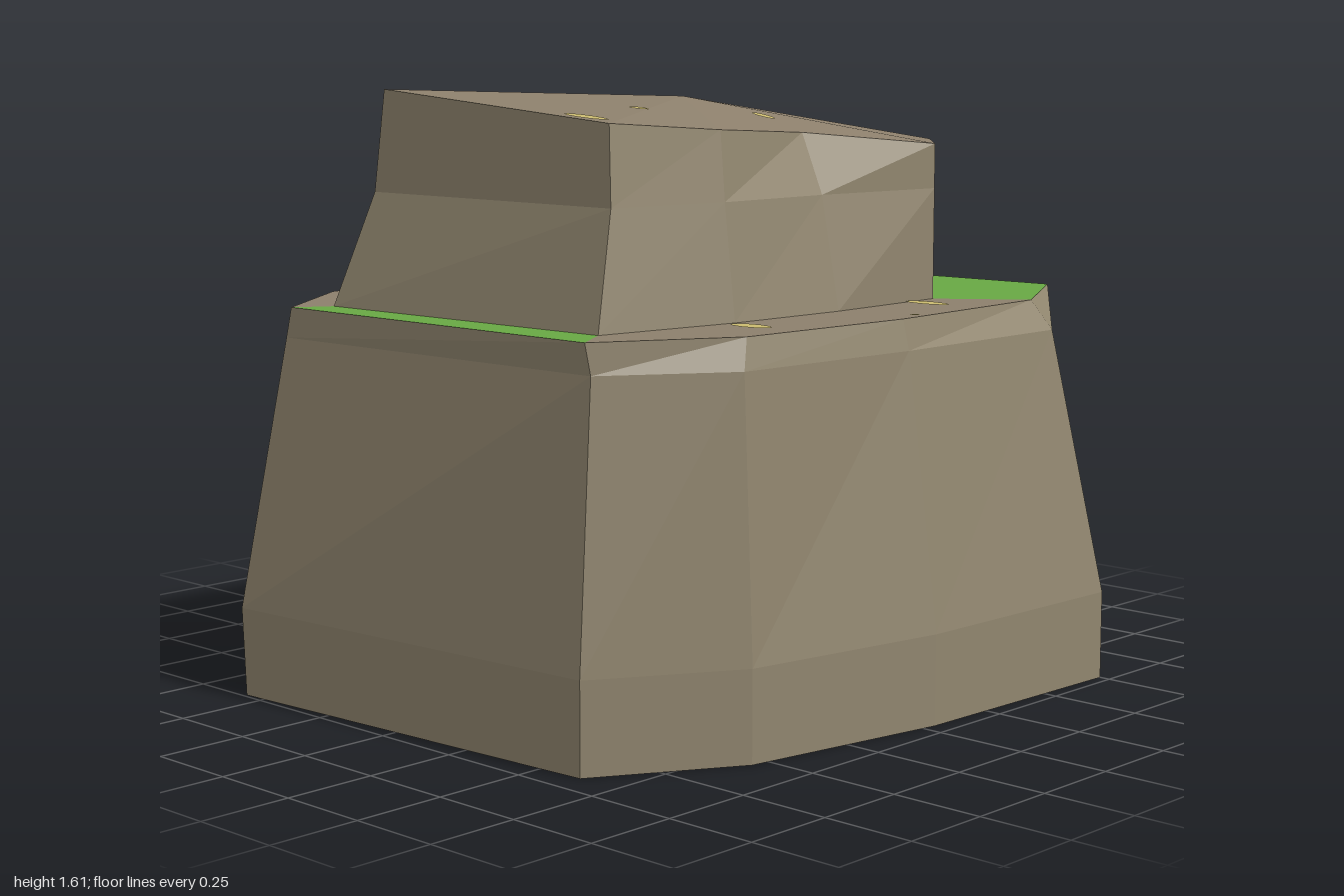
import * as THREE from 'three';

const COUNT = 10;
const material = (name, color) => {
  const m = new THREE.MeshStandardMaterial({ color });
  m.name = name;
  return m;
};

// Turns [x, z, x, z, ...] into a ring of points; y is one height or one per point
const ring = (y, xz) => Array.from({ length: COUNT }, (_, i) =>
  new THREE.Vector3(xz[2 * i], Array.isArray(y) ? y[i] : y, xz[2 * i + 1]));

// Quads between two rings, for the chosen sides
function band(lower, upper, sides = [...lower.keys()]) {
  return sides.flatMap((i) => {
    const j = (i + 1) % COUNT;
    return [lower[j], lower[i], upper[i], lower[j], upper[i], upper[j]];
  });
}

// Triangles from a ring to a centre point
function fan(points, centre, up) {
  return points.flatMap((p, i) => {
    const q = points[(i + 1) % COUNT];
    return up ? [centre, q, p] : [centre, p, q];
  });
}

function facets(name, points, mat) {
  const geometry = new THREE.BufferGeometry().setFromPoints(points);
  geometry.computeVertexNormals();
  const mesh = new THREE.Mesh(geometry, mat);
  mesh.name = name;
  return mesh;
}

export function createModel() {
  const group = new THREE.Group();
  group.name = 'steppedRock';
  const wall = material('rock wall', 0x91866f);
  const top = material('rock top', 0x8d806c);
  const grass = material('grass', 0x68a844);
  const lichen = material('lichen', 0xcbbb70);

  // Rings start at the back of the -x side and run along the back to +x
  const foot = [-0.99, -0.57, -0.55, -0.75, 0.08, -0.87, 0.85, -0.97, 0.92, -0.46,
    0.97, 0.59, 0.75, 0.97, 0.04, 0.95, -0.55, 0.85, -0.92, 0.63];
  const shin = [-1, ...foot.slice(1)];
  const lower = [
    ring(0, foot),
    ring(0.24, shin),
    ring(0.96, [-0.88, -0.51, -0.55, -0.74, 0.08, -0.82, 0.85, -0.96, 0.92, -0.46,
      0.97, 0.59, 0.66, 0.85, 0.04, 0.85, -0.54, 0.81, -0.85, 0.6]),
    ring(1.04, [-0.87, -0.5, -0.54, -0.73, 0.08, -0.79, 0.83, -0.945, 0.92, -0.46,
      1, 0.59, 0.63, 0.8, 0.04, 0.83, -0.51, 0.79, -0.86, 0.59]),
  ];
  const upper = [
    ring(1.04, [-0.775, -0.44, -0.34, -0.495, 0.06, -0.53, 0.53, -0.57, 0.64, -0.3,
      0.68, 0.41, 0.47, 0.59, 0.06, 0.6, -0.32, 0.58, -0.74, 0.515]),
    ring(1.34, [-0.67, -0.39, -0.31, -0.43, 0.06, -0.47, 0.53, -0.55, 0.64, -0.3,
      0.675, 0.41, 0.47, 0.59, 0.06, 0.54, -0.31, 0.535, -0.66, 0.48]),
    ring([1.61, 1.595, 1.58, 1.55, 1.52, 1.46, 1.46, 1.5, 1.52, 1.545],
      [-0.65, -0.37, -0.3, -0.375, 0.06, -0.38, 0.53, -0.545, 0.64, -0.3,
        0.675, 0.41, 0.47, 0.59, 0.06, 0.47, -0.3, 0.51, -0.645, 0.46]),
  ];
  const peak = new THREE.Vector3(0.06, 1.585, 0.04);

  // Two tiers of walls
  const stack = (rings) => rings.slice(1).flatMap((r, i) => band(rings[i], r));
  group.add(
    facets('lowerTierWalls', stack(lower), wall),
    facets('upperTierWalls', stack(upper), wall),
    facets('underside', fan(lower[0], new THREE.Vector3(), false), wall),
  );

  // Ledge, with grass on three of its sides, and the uneven summit
  const summit = fan(upper[2], peak, true);
  group.add(
    facets('ledge', band(lower[3], upper[0], [0, 1, 2, 3, 6, 7, 8]), top),
    facets('grassLedge', band(lower[3], upper[0], [4, 5, 9]), grass),
    facets('summit', summit, top),
  );

  // Height of the summit facet at x, z
  function summitHeight(x, z) {
    const p = new THREE.Vector3(x, 0, z);
    const flat = (v) => new THREE.Vector3(v.x, 0, v.z);
    for (let i = 0; i < summit.length; i += 3) {
      const t = summit.slice(i, i + 3);
      const b = THREE.Triangle.getBarycoord(p, ...t.map(flat), new THREE.Vector3());
      if (b && Math.min(b.x, b.y, b.z) >= -0.01) {
        return b.x * t[0].y + b.y * t[1].y + b.z * t[2].y;
      }
    }
    return peak.y;
  }

  // Lichen patches: x, z, half width, half length
  const patches = (name, list, height) => list.forEach(([x, z, rx, rz]) => {
    const geometry = new THREE.CircleGeometry(1, 10);
    geometry.rotateX(-Math.PI / 2).scale(rx, 1, rz).translate(x, 0, z);
    const pos = geometry.attributes.position;
    for (let i = 0; i < pos.count; i++) {
      pos.setY(i, height(pos.getX(i), pos.getZ(i)) + 0.004);
    }
    geometry.computeVertexNormals();
    const mesh = new THREE.Mesh(geometry, lichen);
    mesh.name = name;
    group.add(mesh);
  });
  patches('ledgeLichen', [
    [-0.36, -0.69, 0.032, 0.055], [0.11, -0.7, 0.022, 0.04], [0.35, -0.825, 0.022, 0.025],
    [0.765, -0.38, 0.022, 0.022], [-0.36, 0.67, 0.032, 0.065], [0.35, 0.665, 0.03, 0.07],
    [0.11, 0.812, 0.015, 0.01],
  ], () => 1.04);
  patches('summitLichen', [
    [-0.36, -0.29, 0.032, 0.065], [0.11, -0.3, 0.022, 0.036], [0.35, -0.445, 0.022, 0.04],
    [-0.325, 0.25, 0.02, 0.03], [0.11, 0.29, 0.022, 0.038], [0.49, 0.26, 0.024, 0.035],
    [-0.615, 0.35, 0.028, 0.075],
  ], summitHeight);

  return group;
}
